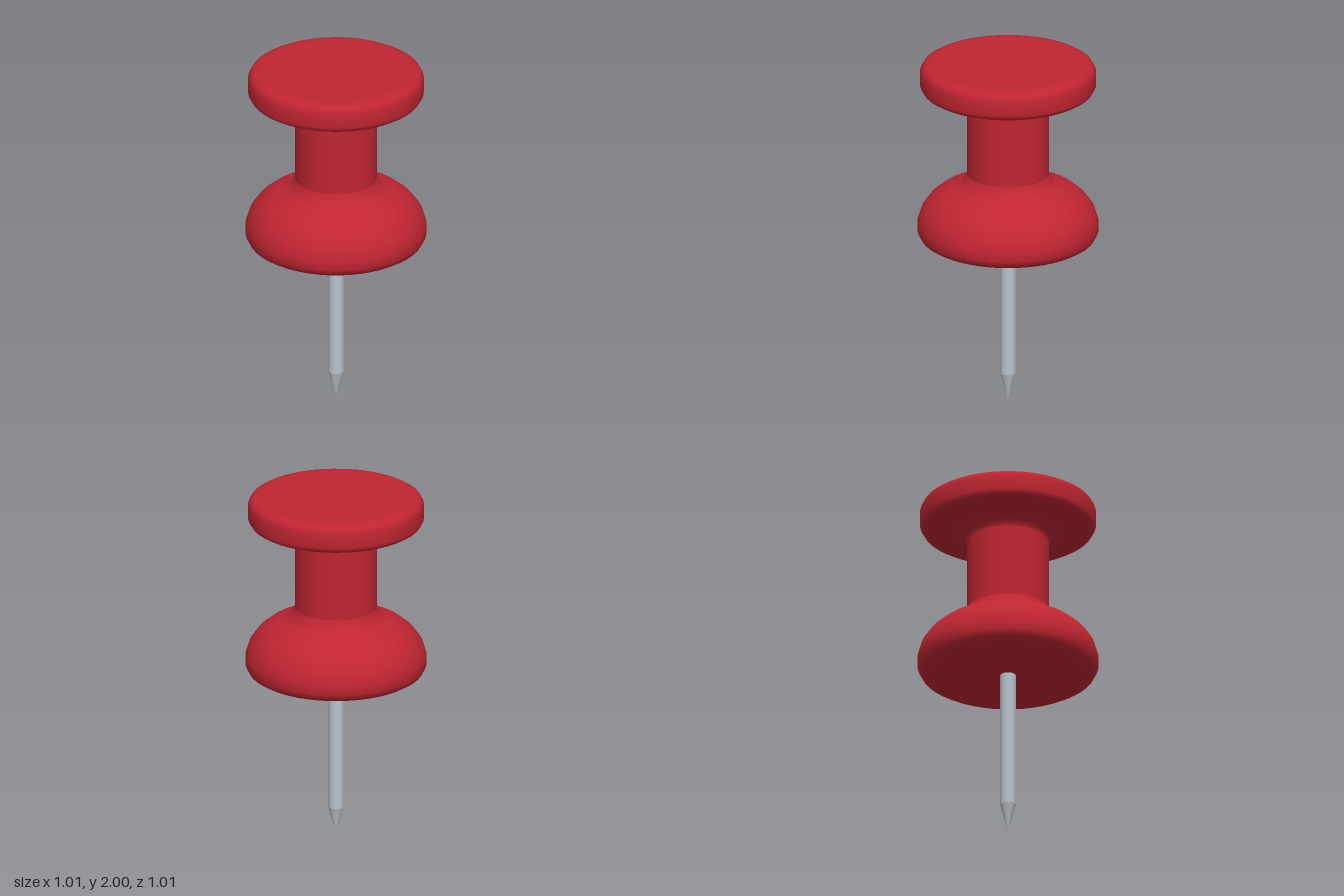
import * as THREE from 'three';

const SEGMENTS = 48;

export function createModel() {
  const red = new THREE.MeshStandardMaterial({ color: 0xc02532 });
  red.name = 'red plastic';
  const steel = new THREE.MeshStandardMaterial({ color: 0xbac2cb });
  steel.name = 'steel';

  const model = new THREE.Group();
  model.name = 'pushPin';

  // Revolves a bottom-to-top [radius, height] profile
  const turn = (name, profile, material, segments = SEGMENTS) => {
    const points = profile.map(([r, y]) => new THREE.Vector2(r, y));
    const mesh = new THREE.Mesh(new THREE.LatheGeometry(points, segments), material);
    mesh.name = name;
    model.add(mesh);
  };

  // Flared base, rounded at the rim and blended into the neck
  turn('base', [
    [0.415, 0.952], [0.455, 0.957], [0.485, 0.975], [0.503, 1.01], [0.503, 1.065],
    [0.483, 1.13], [0.44, 1.19], [0.385, 1.235], [0.325, 1.266],
    [0.28, 1.282], [0.245, 1.308], [0.228, 1.35],
  ], red);

  // Straight grip
  turn('neck', [[0.228, 1.35], [0.228, 1.765]], red);

  // Head: sloped underside and rounded rim
  turn('headUnderside', [[0.228, 1.765], [0.233, 1.785], [0.25, 1.802], [0.33, 1.818], [0.42, 1.836]], red);
  turn('headRim', [
    [0.42, 1.836], [0.455, 1.838], [0.475, 1.85], [0.489, 1.875],
    [0.489, 1.955], [0.475, 1.982], [0.455, 1.994], [0.42, 2],
  ], red);

  // Flat faces closing the head and the base
  turn('headTop', [[0.42, 2], [0, 2]], red);
  turn('baseBottom', [[0, 0.952], [0.415, 0.952]], red);

  // Pin with a sharpened end
  turn('needleTip', [[0, 0], [0.044, 0.16]], steel, 24);
  turn('needleShaft', [[0.044, 0.16], [0.044, 0.96]], steel, 24);

  return model;
}
